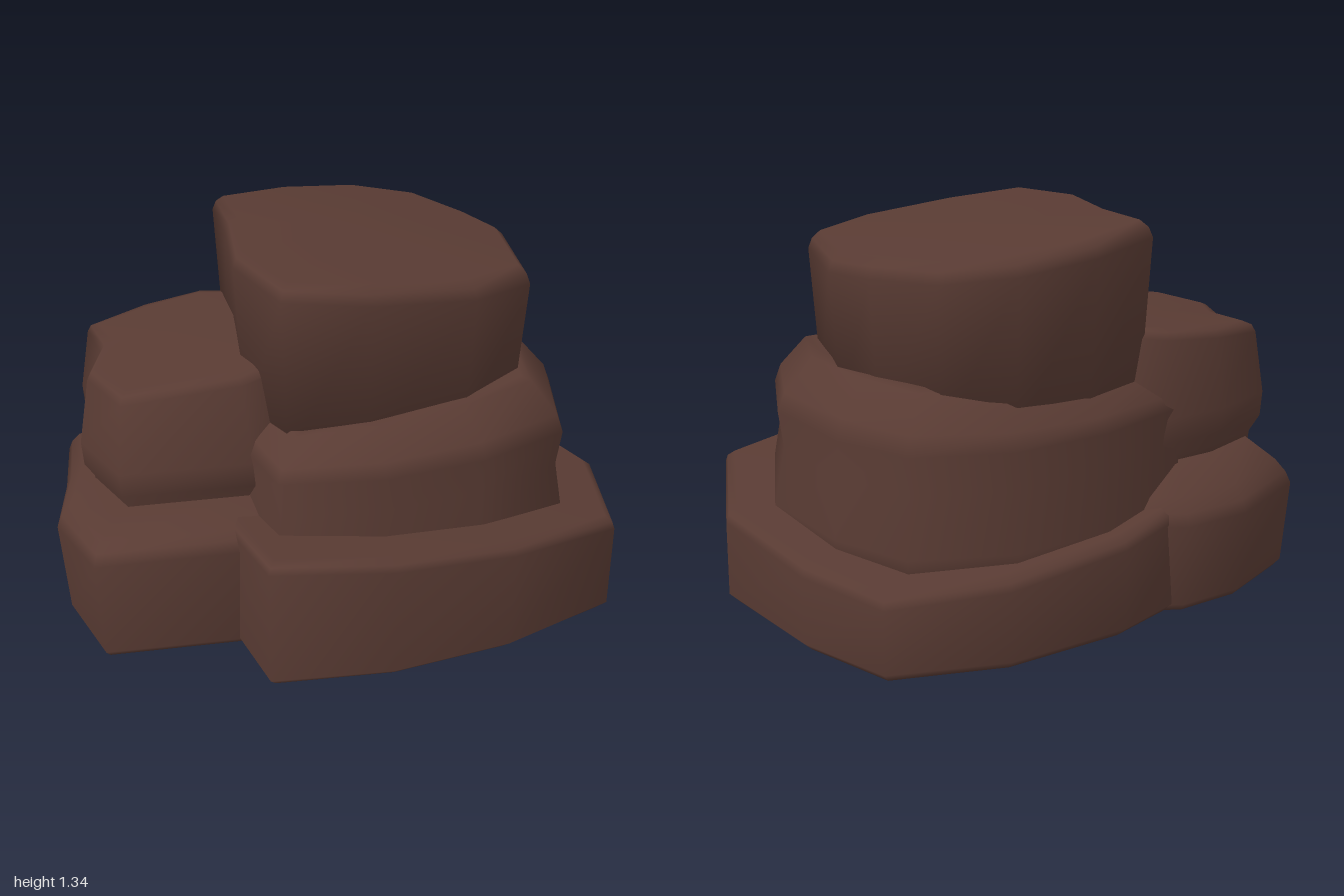
import * as THREE from 'three';

const stone = new THREE.MeshStandardMaterial({ color: 0x593b33 });
stone.name = 'brown stone';

// Loft a rock from a plan outline [x, z] (front-left, anticlockwise from above)
// and rings [inset, y, slopeX, slopeZ, shiftZ] running from bottom to top.
function rock(name, outline, rings) {
  const n = outline.length;
  const cx = outline.reduce((s, p) => s + p[0], 0) / n;
  const cz = outline.reduce((s, p) => s + p[1], 0) / n;
  const pos = [], index = [];
  for (const [inset, y, sx = 0, sz = 0, shift = 0] of rings) {
    for (const [px, pz] of outline) {
      const k = 1 - inset / Math.hypot(px - cx, pz - cz);
      const x = cx + (px - cx) * k, z = cz + (pz - cz) * k + shift;
      pos.push(x, y + sx * x + sz * z, z);
    }
  }
  // centres of the bottom and top faces
  for (const [, y, sx = 0, sz = 0, shift = 0] of [rings[0], rings[rings.length - 1]]) {
    pos.push(cx, y + sx * cx + sz * (cz + shift), cz + shift);
  }
  const last = (rings.length - 1) * n, bottom = rings.length * n;
  for (let i = 0; i < n; i++) {
    const j = (i + 1) % n;
    for (let r = 0; r < last; r += n) {
      index.push(r + i, r + j, r + n + j, r + i, r + n + j, r + n + i);
    }
    index.push(j, i, bottom, last + i, last + j, bottom + 1);
  }
  const geo = new THREE.BufferGeometry();
  geo.setAttribute('position', new THREE.Float32BufferAttribute(pos, 3));
  geo.setIndex(index);
  geo.computeVertexNormals();
  const mesh = new THREE.Mesh(geo, stone);
  mesh.name = name;
  return mesh;
}

export function createModel() {
  const group = new THREE.Group();
  group.name = 'stackedRocks';

  // wide slab on the ground
  group.add(rock('baseSlab', [
    [-0.43, 0.63], [-0.02, 0.72], [0.41, 0.72], [0.84, 0.63], [1, 0.19], [0.92, -0.28],
    [0.79, -0.6], [0.41, -0.73], [-0.03, -0.73], [-0.39, -0.63], [-0.44, -0.25], [-0.48, 0.26],
  ], [
    [0.035, 0], [0, 0.035], [0.005, 0.375, -0.09, 0.09],
    [0.015, 0.4, -0.09, 0.09], [0.045, 0.42, -0.09, 0.09],
  ]));

  // smaller slab on the right of the base, with a broad sloping shoulder
  group.add(rock('sideSlab', [
    [-0.93, 0.31], [-0.45, 0.4], [-0.1, 0.35], [0, -0.1], [-0.1, -0.6], [-0.3, -0.7],
    [-0.55, -0.7], [-0.86, -0.58], [-0.92, -0.28], [-1, 0],
  ], [
    [0.045, 0], [0.02, 0.03], [0, 0.38, 0, 0.08], [0.02, 0.42, 0, 0.08],
    [0.06, 0.45, 0, 0.06], [0.17, 0.505, 0, 0.03],
  ]));

  // middle boulder with a chamfered top
  group.add(rock('middleBoulder', [
    [-0.34, 0.46], [0, 0.55], [0.36, 0.55], [0.69, 0.47], [0.82, 0.12], [0.77, -0.25],
    [0.65, -0.51], [0.34, -0.64], [0, -0.64], [-0.38, -0.54], [-0.36, -0.25], [-0.38, 0.2],
  ], [
    [0, 0.2], [-0.02, 0.36], [0.02, 0.56], [0.005, 0.69], [0.03, 0.74, 0.02],
    [0.13, 0.82, 0.07], [0.17, 0.82, 0.09],
  ]));

  // smaller boulder beside it
  group.add(rock('sideBoulder', [
    [-0.8, 0.18], [-0.36, 0.26], [-0.1, 0.2], [-0.05, -0.2], [-0.15, -0.46], [-0.3, -0.55],
    [-0.55, -0.55], [-0.8, -0.47], [-0.8, -0.27], [-0.88, -0.07],
  ], [
    [0.05, 0.4], [0.04, 0.51], [0.005, 0.57], [0, 0.66], [0.05, 0.96, 0.1, 0, -0.02],
    [0.065, 0.985, 0.1, 0, -0.02], [0.1, 0.995, 0.1, 0, -0.02],
  ]));

  // crowning block with a tilted top
  group.add(rock('topBlock', [
    [-0.28, 0.34], [0, 0.41], [0.36, 0.41], [0.6, 0.31], [0.685, -0.05], [0.63, -0.23],
    [0.51, -0.46], [0.29, -0.575], [0, -0.575], [-0.27, -0.49], [-0.29, -0.25], [-0.35, 0.05],
  ], [
    [0.03, 0.7], [0, 1.25, -0.095], [0.015, 1.285, -0.095], [0.045, 1.31, -0.095],
  ]));

  return group;
}
